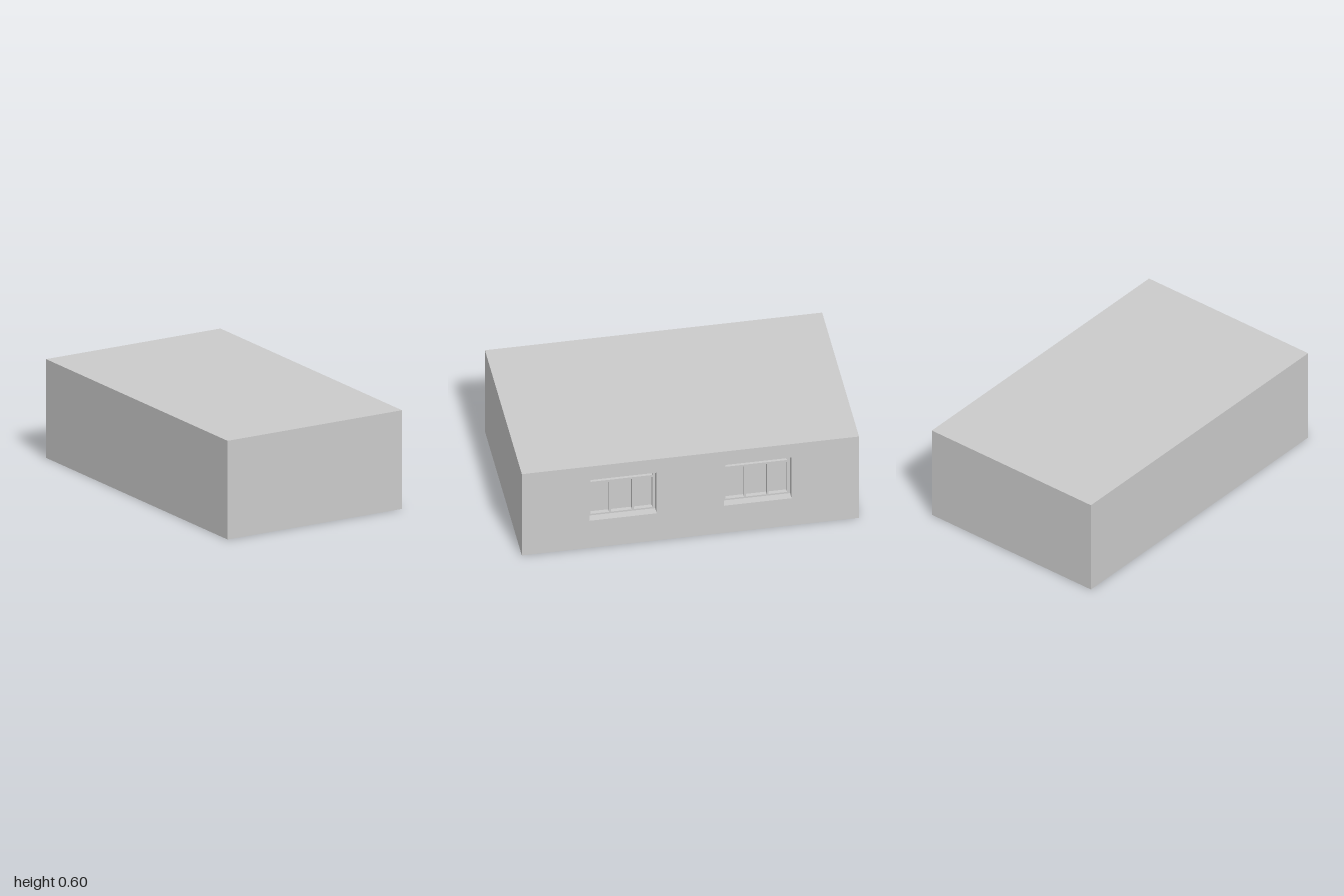
import * as THREE from 'three';

const WIDTH = 1.2, HEIGHT = 0.6, LENGTH = 2;
const WIN = { w: 0.4, h: 0.3, y: 0.35, centers: [-0.4, 0.4] };
const FRAME_DEPTH = 0.05;  // frame face behind the wall face
const GLASS_DEPTH = 0.075; // glass behind the wall face

const material = new THREE.MeshStandardMaterial({ color: 0xcccccc });

function mesh(name, geometry) {
  const m = new THREE.Mesh(geometry, material);
  m.name = name;
  return m;
}

// Closed rectangle from opposite corners, as a Shape or a hole Path
function rect(Type, x0, y0, x1, y1) {
  return new Type([[x0, y0], [x1, y0], [x1, y1], [x0, y1]].map(([x, y]) => new THREE.Vector2(x, y)));
}

// Box that keeps only its faces from the given one on (order: +x -x +y -y +z -z)
function openBox(w, h, d, firstFace, inward = false) {
  const g = new THREE.BoxGeometry(w, h, d);
  const index = Array.from(g.index.array).slice(firstFace * 6);
  g.setIndex(inward ? index.reverse() : index);
  g.clearGroups();
  if (inward) {
    const n = g.attributes.normal;
    for (let i = 0; i < n.count; i++) n.setXYZ(i, -n.getX(i), -n.getY(i), -n.getZ(i));
  }
  return g;
}

// Window centred on its opening, facing +x, with x = 0 at the wall face
function createWindow() {
  const g = new THREE.Group();
  g.name = 'window';

  const reveal = mesh('windowReveal', openBox(GLASS_DEPTH, WIN.h, WIN.w, 2, true));
  reveal.position.x = -GLASS_DEPTH / 2;

  const glass = mesh('windowGlass', new THREE.PlaneGeometry(WIN.w, WIN.h).rotateY(Math.PI / 2));
  glass.position.x = -GLASS_DEPTH;

  // Frame: one wide transom light over three casement lights
  const shape = rect(THREE.Shape, -WIN.w / 2, -WIN.h / 2, WIN.w / 2, WIN.h / 2);
  shape.holes.push(rect(THREE.Path, -0.183, 0.097, 0.183, 0.135));
  for (const [a, b] of [[-0.183, -0.073], [-0.062, 0.062], [0.073, 0.183]]) {
    shape.holes.push(rect(THREE.Path, a, -0.139, b, 0.083));
  }
  const frame = mesh('windowFrame', new THREE.ExtrudeGeometry(shape, {
    depth: GLASS_DEPTH - FRAME_DEPTH, bevelEnabled: false,
  }).rotateY(Math.PI / 2));
  frame.position.x = -GLASS_DEPTH;

  g.add(reveal, glass, frame);
  return g;
}

export function createModel() {
  const model = new THREE.Group();
  model.name = 'building';

  // Roof, floor and the three plain walls
  const shell = mesh('buildingShell', openBox(WIDTH, HEIGHT, LENGTH, 1));
  shell.position.y = HEIGHT / 2;
  model.add(shell);

  // Wall with the window openings
  const wall = rect(THREE.Shape, -LENGTH / 2, 0, LENGTH / 2, HEIGHT);
  for (const c of WIN.centers) {
    wall.holes.push(rect(THREE.Path, c - WIN.w / 2, WIN.y - WIN.h / 2, c + WIN.w / 2, WIN.y + WIN.h / 2));
  }
  const windowWall = mesh('windowWall', new THREE.ShapeGeometry(wall).rotateY(Math.PI / 2));
  windowWall.position.x = WIDTH / 2;
  model.add(windowWall);

  for (const z of WIN.centers) {
    const w = createWindow();
    w.position.set(WIDTH / 2, WIN.y, z);
    model.add(w);
  }
  return model;
}
